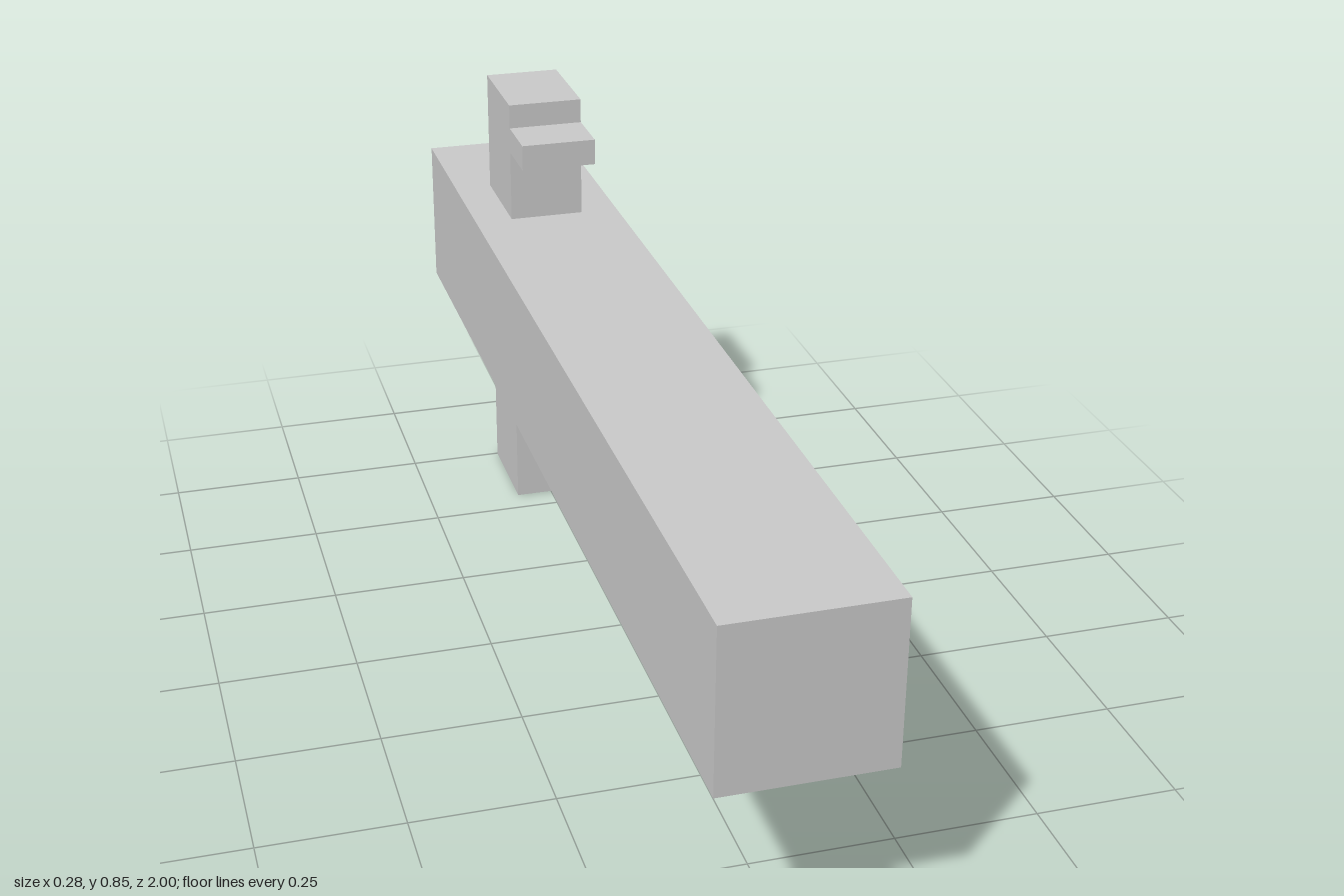
import * as THREE from 'three';

const material = new THREE.MeshStandardMaterial({ color: 0xcccccc, flatShading: true });

// Extrudes a side outline of [z, y] points across x, centred on x = 0
function slab(name, width, outline) {
  const shape = new THREE.Shape(outline.map(([z, y]) => new THREE.Vector2(-z, y)));
  const geometry = new THREE.ExtrudeGeometry(shape, { depth: width, bevelEnabled: false });
  geometry.translate(0, 0, -width / 2);
  geometry.rotateY(Math.PI / 2);
  const mesh = new THREE.Mesh(geometry, material);
  mesh.name = name;
  return mesh;
}

const rect = (z0, z1, y0, y1) => [[z0, y0], [z1, y0], [z1, y1], [z0, y1]];

export function createModel() {
  const group = new THREE.Group();
  const bottom = 0.328, top = 0.613; // body height range
  const back = -0.748, front = -0.552; // depth range of the posts
  const width = 0.141;

  // Long square body
  group.add(slab('body', 0.284, rect(-1, 1, bottom, top)));

  // Posts below and above the body
  group.add(slab('handle', width, rect(back, front, 0, bottom)));
  group.add(slab('upperPost', width, rect(back, front, top, 0.845)));

  // Ledge projecting forward from the upper post
  group.add(slab('ledge', width, rect(front, -0.446, 0.75, 0.799)));

  // L-shaped guard joining the handle to the underside of the body
  group.add(slab('guard', width, [
    [front, 0.205], [-0.45, 0.205], [-0.45, bottom],
    [-0.5, bottom], [-0.5, 0.272], [front, 0.272],
  ]));

  return group;
}
